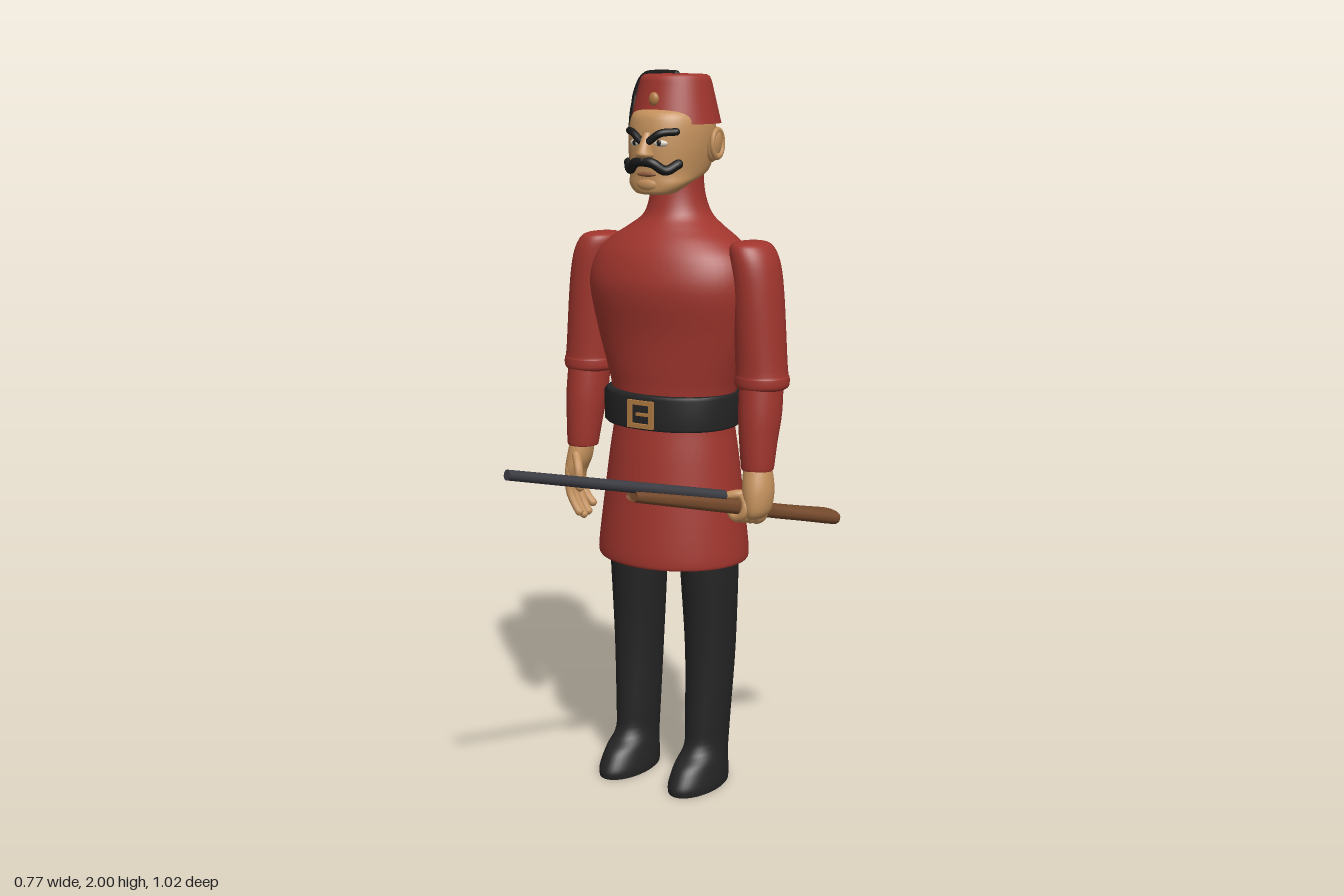
import * as THREE from 'three';

const mat = (name, color) => {
  const m = new THREE.MeshStandardMaterial({ color });
  m.name = name;
  return m;
};

// Elliptical loft along y. Each ring is [y, centreX, centreZ, radiusX, radiusZ].
// Rings are smoothed by a Catmull-Rom rule; flat caps close both ends.
function loft(rings, { sides = 40, steps = 4, power = 2 } = {}) {
  const rows = [];
  const at = i => rings[Math.max(0, Math.min(rings.length - 1, i))];
  for (let i = 0; i < rings.length - 1; i++) {
    for (let s = 0; s < steps; s++) {
      const t = s / steps;
      rows.push(at(i).map((b, k) => {
        const a = at(i - 1)[k], c = at(i + 1)[k], d = at(i + 2)[k];
        return 0.5 * (2 * b + (c - a) * t + (2 * a - 5 * b + 4 * c - d) * t * t + (3 * b - a - 3 * c + d) * t ** 3);
      }));
    }
  }
  rows.push(at(rings.length));
  const pos = [], idx = [];
  const addRow = ([y, cx, cz, rx, rz]) => {
    for (let j = 0; j < sides; j++) {
      const a = (j / sides) * Math.PI * 2, c = Math.cos(a), s = Math.sin(a);
      pos.push(cx + rx * Math.sign(c) * Math.abs(c) ** (2 / power), y, cz + rz * Math.sign(s) * Math.abs(s) ** (2 / power));
    }
  };
  rows.forEach(addRow);
  for (let i = 0; i < rows.length - 1; i++) {
    for (let j = 0; j < sides; j++) {
      const a = i * sides + j, b = i * sides + (j + 1) % sides;
      idx.push(a, a + sides, b, b, a + sides, b + sides);
    }
  }
  for (const top of [false, true]) {
    const row = rows[top ? rows.length - 1 : 0], start = pos.length / 3;
    addRow(row);
    pos.push(row[1], row[0], row[2]);
    for (let j = 0; j < sides; j++) {
      const a = start + j, b = start + (j + 1) % sides;
      idx.push(start + sides, top ? b : a, top ? a : b);
    }
  }
  const g = new THREE.BufferGeometry();
  g.setAttribute('position', new THREE.Float32BufferAttribute(pos, 3));
  g.setIndex(idx);
  g.computeVertexNormals();
  return g;
}

// Tube through points with rounded ends
function limb(parent, name, points, r, material) {
  const pts = points.map(p => new THREE.Vector3(...p));
  const g = new THREE.Group();
  g.name = name;
  g.add(new THREE.Mesh(new THREE.TubeGeometry(new THREE.CatmullRomCurve3(pts), 20, r, 10), material));
  for (const p of [pts[0], pts[pts.length - 1]]) {
    const cap = new THREE.Mesh(new THREE.SphereGeometry(r, 10, 8), material);
    cap.position.copy(p);
    g.add(cap);
  }
  parent.add(g);
  return g;
}

export function createModel() {
  const red = mat('red cloth', 0xa0352d);
  const black = mat('black leather', 0x242424);
  const hair = mat('black hair', 0x191919);
  const skin = mat('skin', 0xc4915c);
  const brass = mat('brass', 0xb07a42);
  const wood = mat('walnut wood', 0x74492b);
  const steel = mat('gun steel', 0x3b3b43);
  const white = mat('eye white', 0xd8cfc0);
  const lip = mat('lip', 0x8e5a3c);

  const model = new THREE.Group();
  model.name = 'soldier';
  const body = new THREE.Group();
  body.name = 'body';
  body.position.x = -0.03;
  model.add(body);
  const add = (name, geometry, material, parent = body) => {
    const m = new THREE.Mesh(geometry, material);
    m.name = name;
    parent.add(m);
    return m;
  };
  const blob = (name, material, p, s, parent = body) => {
    const m = add(name, new THREE.SphereGeometry(1, 20, 14), material, parent);
    m.position.set(...p);
    m.scale.set(...s);
    return m;
  };

  // Coat with skirt, chest and high collar
  add('coat', loft([
    [0.66, 0, -0.262, 0.216, 0.191], [0.675, 0, -0.262, 0.219, 0.194], [0.74, 0, -0.262, 0.213, 0.189],
    [0.95, 0, -0.262, 0.188, 0.163], [1.06, 0, -0.262, 0.174, 0.146], [1.14, 0, -0.26, 0.184, 0.144],
    [1.2, 0, -0.258, 0.2, 0.147], [1.3, 0, -0.256, 0.23, 0.153], [1.42, 0, -0.248, 0.25, 0.163],
    [1.5, 0, -0.255, 0.236, 0.153], [1.55, 0, -0.263, 0.19, 0.134], [1.585, 0, -0.27, 0.135, 0.112],
    [1.62, 0, -0.276, 0.092, 0.092], [1.68, 0, -0.273, 0.074, 0.074], [1.75, 0, -0.273, 0.071, 0.071],
  ], { sides: 56 }), red);

  // Belt and buckle
  add('belt', loft([
    [1.043, 0, -0.256, 0.188, 0.158], [1.05, 0, -0.256, 0.195, 0.165],
    [1.13, 0, -0.256, 0.195, 0.165], [1.138, 0, -0.256, 0.188, 0.158],
  ], { sides: 56, steps: 1, power: 2.2 }), black);
  const frame = new THREE.Shape([[-0.04, -0.038], [0.04, -0.038], [0.04, 0.038], [-0.04, 0.038]].map(p => new THREE.Vector2(...p)));
  frame.holes.push(new THREE.Path([[-0.028, -0.026], [-0.028, 0.026], [0.028, 0.026], [0.028, -0.026]].map(p => new THREE.Vector2(...p))));
  const buckle = add('buckle', new THREE.ExtrudeGeometry(frame, { depth: 0.016, bevelEnabled: false }), brass);
  buckle.position.set(0, 1.088, -0.099);
  add('bucklePin', new THREE.BoxGeometry(0.05, 0.008, 0.008), brass).position.set(0.012, 1.088, -0.088);

  for (const s of [1, -1]) {
    const side = s > 0 ? 'left' : 'right';
    const flip = rings => rings.map(([y, x, ...r]) => [y, x * s, ...r]);

    // Trouser leg running into the boot
    add(side + 'Leg', loft(flip([
      [0, 0.1175, -0.215, 0.066, 0.125], [0.02, 0.1175, -0.215, 0.067, 0.126], [0.05, 0.1175, -0.223, 0.064, 0.117],
      [0.075, 0.1175, -0.233, 0.06, 0.106], [0.115, 0.1175, -0.258, 0.056, 0.081], [0.2, 0.118, -0.263, 0.06, 0.078],
      [0.4, 0.12, -0.27, 0.069, 0.08], [0.64, 0.1175, -0.264, 0.081, 0.087], [0.72, 0.1175, -0.262, 0.082, 0.088],
    ])), black);

    // Wide sleeve over a narrow forearm
    add(side + 'Sleeve', loft(flip([
      [1.163, 0.28, -0.258, 0.062, 0.064], [1.172, 0.28, -0.258, 0.073, 0.073], [1.195, 0.28, -0.258, 0.074, 0.074],
      [1.22, 0.278, -0.258, 0.07, 0.072], [1.4, 0.266, -0.258, 0.067, 0.077], [1.49, 0.255, -0.259, 0.064, 0.079],
      [1.535, 0.243, -0.26, 0.057, 0.073], [1.552, 0.238, -0.26, 0.042, 0.058], [1.557, 0.236, -0.26, 0.015, 0.025],
    ])), red);
    add(side + 'Forearm', loft(flip([
      [0.945, 0.287, -0.228, 0.042, 0.043], [0.955, 0.287, -0.228, 0.045, 0.046], [1.02, 0.285, -0.234, 0.051, 0.054],
      [1.1, 0.283, -0.245, 0.058, 0.064], [1.2, 0.28, -0.256, 0.058, 0.064],
    ])), red);

    // Ear, brow, eye and half of the moustache
    blob(side + 'Ear', skin, [s * 0.117, 1.802, -0.27], [0.016, 0.044, 0.025]).rotation.z = -s * 0.2;
    const rim = add(side + 'EarRim', new THREE.TorusGeometry(0.027, 0.007, 8, 20), skin);
    rim.position.set(s * 0.126, 1.808, -0.27);
    rim.rotation.y = Math.PI / 2;
    rim.scale.y = 1.3;
    limb(body, side + 'Brow', [[s * 0.014, 1.818, -0.108], [s * 0.042, 1.838, -0.117], [s * 0.073, 1.842, -0.147]], 0.01, hair);
    blob(side + 'Eye', white, [s * 0.04, 1.812, -0.124], [0.019, 0.009, 0.008]).rotation.y = s * 0.3;
    blob(side + 'Pupil', hair, [s * 0.037, 1.813, -0.119], [0.008, 0.008, 0.005]);
    limb(body, side + 'Moustache', [[0, 1.765, -0.1], [s * 0.027, 1.761, -0.103], [s * 0.055, 1.742, -0.123], [s * 0.078, 1.758, -0.15]], 0.013, hair);
  }

  // Head, nose and mouth
  add('head', loft([
    [1.676, 0, -0.158, 0.035, 0.025], [1.682, 0, -0.162, 0.058, 0.045], [1.705, 0, -0.182, 0.084, 0.068],
    [1.735, 0, -0.23, 0.097, 0.116], [1.8, 0, -0.242, 0.108, 0.128], [1.86, 0, -0.247, 0.107, 0.128],
    [1.892, 0, -0.247, 0.092, 0.112], [1.912, 0, -0.25, 0.05, 0.06],
  ], { power: 2.15 }), skin);
  add('nose', loft([
    [1.77, 0, -0.118, 0.014, 0.018], [1.78, 0, -0.112, 0.024, 0.03], [1.795, 0, -0.112, 0.019, 0.028],
    [1.84, 0, -0.122, 0.011, 0.012],
  ], { sides: 20 }), skin);
  blob('mouth', lip, [0, 1.731, -0.117], [0.03, 0.007, 0.009]);
  blob('chin', skin, [0, 1.704, -0.135], [0.042, 0.024, 0.026]);

  // Fez with badge and tassel
  add('fez', loft([
    [1.86, 0, -0.262, 0.122, 0.124], [1.97, 0, -0.26, 0.097, 0.097],
    [1.982, 0, -0.26, 0.092, 0.092], [1.988, 0, -0.26, 0.083, 0.083], [1.99, 0, -0.26, 0.03, 0.03],
  ], { steps: 1, sides: 48 }), red);
  blob('badge', brass, [0, 1.925, -0.152], [0.015, 0.018, 0.01]);
  limb(body, 'tasselCord', [[0, 1.988, -0.262], [-0.06, 1.989, -0.265], [-0.1, 1.982, -0.262], [-0.121, 1.94, -0.255], [-0.126, 1.9, -0.25]], 0.01, hair);
  add('tassel', loft([
    [1.845, -0.127, -0.25, 0.014, 0.018], [1.89, -0.124, -0.25, 0.013, 0.016], [1.93, -0.121, -0.252, 0.008, 0.01],
  ], { sides: 16 }), hair);

  // Relaxed right hand
  const rightHand = new THREE.Group();
  rightHand.name = 'rightHand';
  model.add(rightHand);
  add('rightPalm', loft([
    [0.845, -0.333, -0.218, 0.018, 0.035], [0.87, -0.334, -0.218, 0.025, 0.045], [0.91, -0.325, -0.222, 0.034, 0.044],
    [0.97, -0.317, -0.228, 0.035, 0.035],
  ], { sides: 24 }), skin, rightHand);
  for (let i = 0; i < 4; i++) {
    const z = -0.184 - i * 0.023, drop = [0.012, 0, 0.005, 0.025][i];
    limb(rightHand, 'finger', [[-0.337, 0.875, z], [-0.335, 0.815, z], [-0.32, 0.775 + drop / 2, z], [-0.302, 0.743 + drop, z]], 0.012, skin);
  }
  limb(rightHand, 'thumb', [[-0.315, 0.92, -0.19], [-0.292, 0.885, -0.168], [-0.284, 0.835, -0.162]], 0.013, skin);

  // Left hand around the rifle
  add('leftPalm', loft([
    [0.815, 0.263, -0.215, 0.02, 0.036], [0.84, 0.268, -0.215, 0.034, 0.048], [0.9, 0.265, -0.22, 0.042, 0.05],
    [0.97, 0.257, -0.228, 0.036, 0.037],
  ], { sides: 24 }), skin, model);

  // Rifle: local y runs from butt to muzzle, local z points upward
  const rifle = new THREE.Group();
  rifle.name = 'rifle';
  const along = new THREE.Vector3(-0.24, 0.155, 0.635).normalize();
  const across = new THREE.Vector3().crossVectors(along, new THREE.Vector3(0, 1, 0)).normalize();
  rifle.quaternion.setFromRotationMatrix(new THREE.Matrix4().makeBasis(across, along, new THREE.Vector3().crossVectors(across, along)));
  rifle.position.set(0.34, 0.767, -0.497);
  model.add(rifle);
  add('stock', loft([
    [0, 0, 0, 0.043, 0.018], [0.008, 0, 0, 0.046, 0.021], [0.1, 0, 0, 0.04, 0.02], [0.2, 0, 0, 0.03, 0.02],
    [0.28, 0, 0.002, 0.025, 0.021], [0.42, 0, 0.003, 0.026, 0.02], [0.685, 0, 0.004, 0.025, 0.016], [0.695, 0, 0.004, 0.022, 0.013],
  ], { sides: 24, power: 2.6 }), wood, rifle);
  const barrel = add('barrel', new THREE.CylinderGeometry(0.0135, 0.0165, 0.7, 20), steel, rifle);
  barrel.position.set(0, 0.75, 0.027);
  for (let i = 0; i < 4; i++) {
    const finger = add('grippingFinger', new THREE.TorusGeometry(0.031, 0.012, 10, 24), skin, rifle);
    finger.position.set(0, 0.272 + i * 0.023, 0.002);
    finger.rotation.x = Math.PI / 2;
  }
  limb(rifle, 'grippingThumb', [[-0.025, 0.3, 0.035], [0, 0.345, 0.036], [0.024, 0.365, 0.024]], 0.013, skin);

  return model;
}
